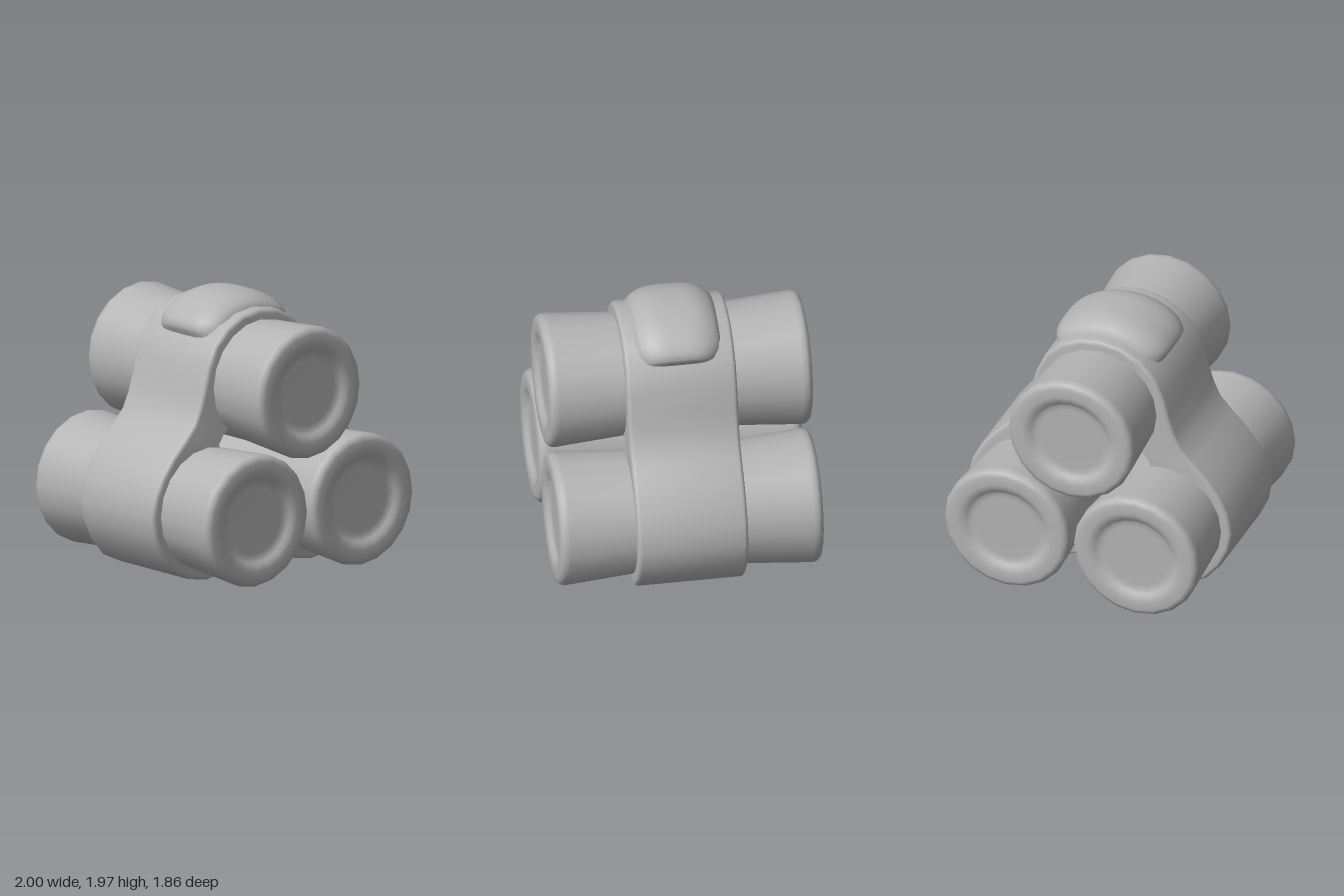
import * as THREE from 'three';
import { mergeVertices, toCreasedNormals } from 'three/addons/utils/BufferGeometryUtils.js';

const V = (x, y) => new THREE.Vector2(x, y);

// Closed outline from its right half, listed from the top centre to the bottom centre
function mirrored(half) {
  const right = half.map(([x, y]) => V(x, y));
  const left = half.slice(1, -1).reverse().map(([x, y]) => V(-x, y));
  return [...right, ...left];
}

// Barrel along z: narrow waist, rounded rims and dished ends
function barrelGeometry() {
  const end = [[0.435, 0.39], [0.471, 0.86], [0.47, 0.895], [0.455, 0.92], [0.425, 0.932],
    [0.36, 0.932], [0.325, 0.925], [0.3, 0.905], [0.275, 0.892], [0.24, 0.89], [0, 0.89]];
  const profile = [
    ...end.slice().reverse().map(([r, z]) => V(r, -z)),
    ...end.map(([r, z]) => V(r, z)),
  ];
  return new THREE.LatheGeometry(profile, 20).rotateX(Math.PI / 2);
}

// Collar wrapped round all three barrels, open in the middle
function bandGeometry() {
  const shape = new THREE.Shape(mirrored([
    [0, 1.875], [0.16, 1.85], [0.3, 1.78], [0.41, 1.67], [0.48, 1.52], [0.52, 1.37], [0.56, 1.24],
    [0.61, 1.13], [0.7, 1.03], [0.8, 0.93], [0.9, 0.8], [0.965, 0.67], [1, 0.52], [0.975, 0.37],
    [0.91, 0.23], [0.8, 0.1], [0.65, 0.03], [0.49, 0], [0.34, 0.025], [0.18, 0.07], [0, 0.11],
  ]));
  shape.holes.push(new THREE.Path(mirrored([
    [0, 1.02], [0.2, 1.07], [0.31, 1.09], [0.37, 1.04], [0.42, 0.96],
    [0.32, 0.7], [0.2, 0.45], [0.07, 0.37], [0, 0.385],
  ])));
  const geometry = new THREE.ExtrudeGeometry(shape, {
    depth: 0.72, bevelThickness: 0.03, bevelSize: 0.03, bevelOffset: -0.03, bevelSegments: 4,
  });
  return toCreasedNormals(geometry.translate(0, 0, -0.36), 0.6);
}

// Cushion bent over the top of the collar, with softened edges
function padGeometry() {
  const geometry = new THREE.BoxGeometry(2, 1, 2, 24, 4, 16);
  const p = geometry.attributes.position;
  for (let i = 0; i < p.count; i++) {
    const u = p.getX(i), v = p.getZ(i), t = p.getY(i) + 0.5;
    const angle = u * (0.94 - 0.1 * t) * (1 - 0.07 * Math.abs(v) ** 8);
    const top = 0.595 - 0.09 * Math.abs(v) ** 3.5 - 0.025 * Math.abs(u) ** 8;
    const r = 0.45 + (top - 0.45) * t;
    const z = 0.3 * v * (1 - 0.1 * Math.abs(u) ** 8);
    p.setXYZ(i, r * Math.sin(angle), 1.37 + r * Math.cos(angle), z);
  }
  geometry.deleteAttribute('uv');
  geometry.deleteAttribute('normal');
  return toCreasedNormals(mergeVertices(geometry), 1);
}

export function createModel() {
  const group = new THREE.Group();
  group.name = 'barrelCluster';
  const grey = new THREE.MeshStandardMaterial({ color: 0xb4b4b4 });
  grey.name = 'grey';

  const add = (name, geometry) => {
    const mesh = new THREE.Mesh(geometry, grey);
    mesh.name = name;
    group.add(mesh);
    return mesh;
  };

  const barrel = barrelGeometry();
  const places = { topBarrel: [0, 1.365], leftBarrel: [0.488, 0.52], rightBarrel: [-0.488, 0.52] };
  for (const [name, [x, y]] of Object.entries(places)) add(name, barrel).position.set(x, y, 0);

  add('band', bandGeometry());
  add('topPad', padGeometry());
  return group;
}
